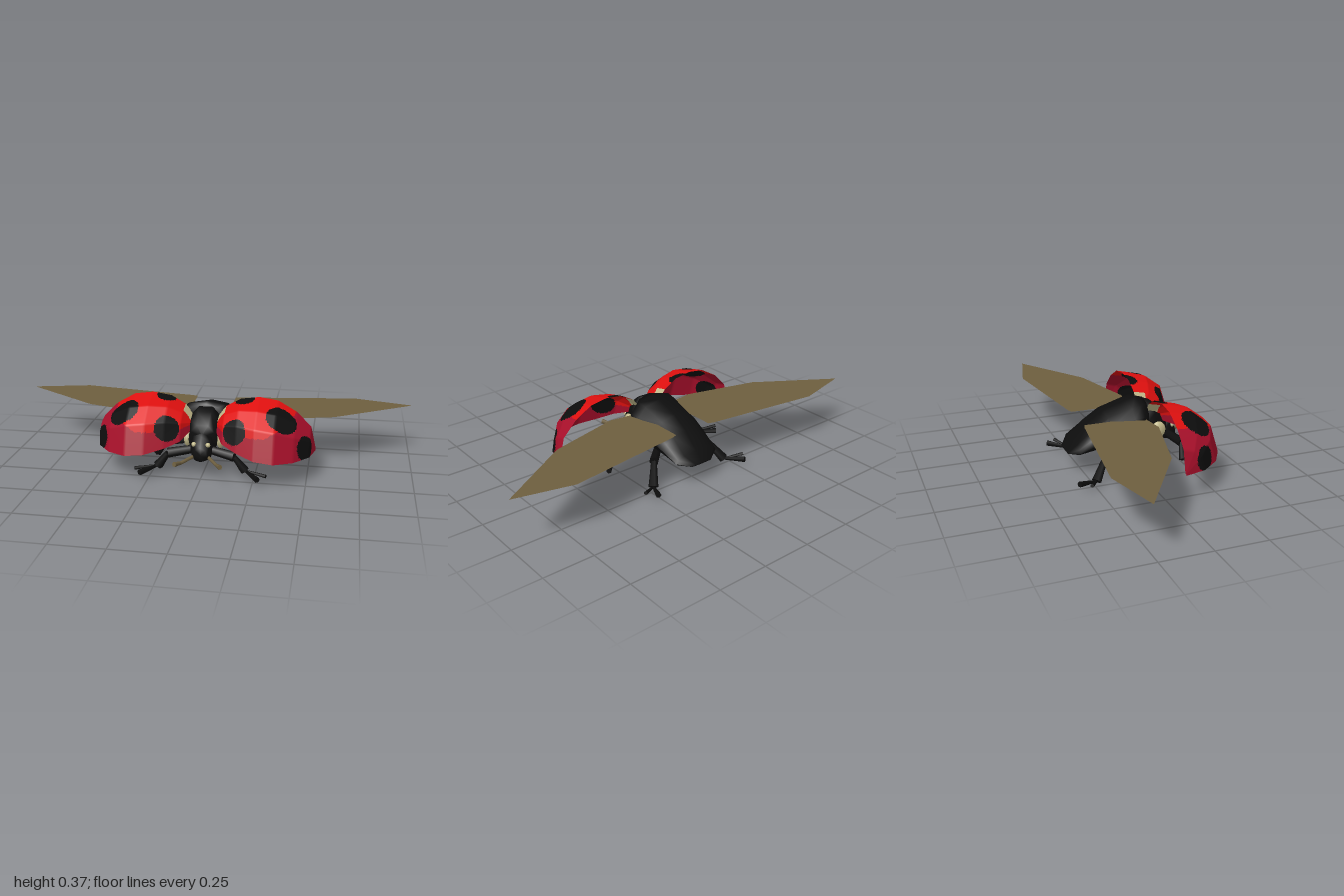
import * as THREE from 'three';

const mat = (name, color, side = THREE.FrontSide) => {
  const m = new THREE.MeshStandardMaterial({ color, side });
  m.name = name;
  return m;
};

export function createModel() {
  const root = new THREE.Group();
  root.name = 'flyingBeetle';
  const black = mat('black shell', 0x0d0d0d);
  const cream = mat('cream patch', 0xc4bb8c);
  const tan = mat('tan feeler', 0x6e5f3f);
  const wingTan = mat('tan wing', 0x6e5f3f, THREE.DoubleSide);
  const caseMats = [
    mat('bright red', 0xdf100f, THREE.DoubleSide),
    mat('crimson', 0xa80f2a, THREE.DoubleSide),
    mat('black spot', 0x0d0d0d, THREE.DoubleSide),
    mat('cream edge', 0xc4bb8c, THREE.DoubleSide),
  ];

  const add = (name, geo, material, parent = root) => {
    const m = new THREE.Mesh(geo, material);
    m.name = name;
    parent.add(m);
    return m;
  };

  // Surface over a grid of points; pick() chooses the material of each triangle
  const gridSurface = (rows, flip = false, pick = () => 0) => {
    const n = rows[0].length, pts = rows.flat(), lists = [];
    const face = (a, b, c) => {
      const mid = pts[a].clone().add(pts[b]).add(pts[c]).divideScalar(3);
      const k = pick(mid);
      (lists[k] ??= []).push(...(flip ? [a, c, b] : [a, b, c]));
    };
    for (let i = 0; i < rows.length - 1; i++) {
      for (let j = 0; j < n - 1; j++) {
        const a = i * n + j, c = a + n;
        face(a, a + 1, c);
        face(a + 1, c + 1, c);
      }
    }
    const geo = new THREE.BufferGeometry().setFromPoints(pts);
    const index = [];
    lists.forEach((list, k) => {
      geo.addGroup(index.length, list.length, k);
      index.push(...list);
    });
    geo.setIndex(index);
    geo.computeVertexNormals();
    return geo;
  };

  // Body lofts: each ring is [z, half width, top, bottom]
  const loft = (rings, sides = 10) => gridSurface(rings.map(([z, w, top, bot]) => {
    const cy = bot + (top - bot) * 0.4;
    return Array.from({ length: sides + 1 }, (_, j) => {
      const a = (j / sides) * Math.PI * 2, s = Math.sin(a), c = Math.cos(a);
      const y = cy + s * (s > 0 ? top - cy : cy - bot);
      return new THREE.Vector3(Math.sign(c) * Math.abs(c) ** 0.75 * w, y, z);
    });
  }));

  add('abdomen', loft([
    [-0.32, 0, 0.097, 0.096], [-0.32, 0.06, 0.1, 0.094], [-0.28, 0.125, 0.147, 0.095],
    [-0.2, 0.133, 0.222, 0.097], [-0.12, 0.138, 0.277, 0.1], [0, 0.145, 0.314, 0.117],
    [0.045, 0.155, 0.325, 0.122], [0.085, 0.1, 0.32, 0.13], [0.085, 0, 0.23, 0.22],
  ], 12), black);
  add('thorax', loft([
    [0.07, 0, 0.22, 0.2], [0.07, 0.085, 0.318, 0.12], [0.13, 0.08, 0.3, 0.11],
    [0.19, 0.066, 0.25, 0.1], [0.2, 0, 0.2, 0.18],
  ]), black);
  add('head', loft([
    [0.17, 0, 0.15, 0.14], [0.17, 0.062, 0.225, 0.09], [0.22, 0.055, 0.2, 0.08],
    [0.255, 0.032, 0.155, 0.085], [0.255, 0, 0.12, 0.11],
  ], 8), black);

  // Wing cases: lengthwise stations [x, top y, rim z, rim y] and a shared arch [depth, height]
  const stations = [
    [0.065, 0.27, 0.17, 0.205], [0.1, 0.315, 0.245, 0.178], [0.17, 0.355, 0.29, 0.155],
    [0.26, 0.368, 0.335, 0.135], [0.35, 0.355, 0.335, 0.125], [0.44, 0.303, 0.28, 0.12],
    [0.51, 0.232, 0.19, 0.117], [0.535, 0.125, 0.085, 0.115],
  ];
  const arch = [[0, 1], [0.5, 0.87], [0.83, 0.6], [1, 0]];
  const sample = (list, t) => {
    const i = Math.min(Math.floor(t), list.length - 2);
    return list[i].map((v, k) => v + (list[i + 1][k] - v) * (t - i));
  };
  // Spots: centre x, y, z and radius
  const spots = [
    [0.375, 0.295, 0.2, 0.078], [0.165, 0.24, 0.245, 0.062],
    [0.49, 0.165, 0.2, 0.058], [0.19, 0.36, 0.085, 0.05],
  ];
  const casePaint = (p) => {
    const x = Math.abs(p.x);
    if (spots.some(([a, b, c, r]) => Math.hypot(x - a, p.y - b, p.z - c) < r)) return 2;
    if (x < 0.1 && p.z < 0.14) return 3;
    return p.y > 0.235 + 0.5 * Math.max(0, x - 0.3) ? 0 : 1;
  };
  const wingCase = (s) => {
    const rows = [];
    for (let i = 0; i <= 84; i++) {
      const [x, top, rz, ry] = sample(stations, i / 12);
      const row = [];
      for (let j = 0; j <= 48; j++) {
        const [d, h] = sample(arch, j / 16);
        row.push(new THREE.Vector3(s * x, ry + (top - ry) * h, 0.08 + (rz - 0.08) * d));
      }
      rows.push(row);
    }
    return gridSurface(rows, s < 0, casePaint);
  };

  // Flat hind wing outline, as [x, z]
  const wing = (s) => {
    const outline = [[0.1, -0.25], [0.13, -0.26], [0.715, -0.34], [1, -0.27],
      [0.615, -0.025], [0.25, 0.07], [0.1, 0.05]];
    const shape = new THREE.Shape(outline.map(([x, z]) => new THREE.Vector2(s * x, -z)));
    return new THREE.ShapeGeometry(shape).rotateX(-Math.PI / 2).translate(0, 0.25, 0);
  };

  // Tapered limb segment between two points
  const limb = (name, a, b, r1, r2, parent, material = black) => {
    const p = new THREE.Vector3(...a), q = new THREE.Vector3(...b), dir = q.clone().sub(p);
    const m = add(name, new THREE.CylinderGeometry(r2, r1, dir.length(), 6), material, parent);
    m.position.copy(p).add(q).multiplyScalar(0.5);
    m.quaternion.setFromUnitVectors(new THREE.Vector3(0, 1, 0), dir.normalize());
  };
  // Legs: hip, knee, ankle, toe
  const legs = {
    frontLeg: [[0.04, 0.13, 0.2], [0.16, 0.115, 0.235], [0.21, 0.045, 0.225], [0.28, 0.042, 0.325]],
    middleLeg: [[0.07, 0.14, 0.09], [0.2, 0.115, 0.075], [0.255, 0.042, 0.045], [0.345, 0.055, -0.045]],
    hindLeg: [[0.08, 0.115, -0.09], [0.17, 0.1, -0.17], [0.225, 0.01, -0.235], [0.275, 0.03, -0.335]],
  };

  for (const [side, s] of [['left', 1], ['right', -1]]) {
    const at = ([x, y, z]) => [s * x, y, z];
    add(side + 'WingCase', wingCase(s), caseMats);
    add(side + 'Wing', wing(s), wingTan);

    for (const [name, joints] of Object.entries(legs)) {
      const g = new THREE.Group();
      g.name = side + name[0].toUpperCase() + name.slice(1);
      root.add(g);
      const [hip, knee, ankle, toe] = joints.map(at);
      limb('thigh', hip, knee, 0.02, 0.024, g);
      limb('shin', knee, ankle, 0.014, 0.024, g);
      limb('foot', ankle, toe, 0.006, 0.014, g);
      limb('claw', ankle, [toe[0] + s * 0.035, toe[1], (toe[2] + ankle[2]) / 2], 0.005, 0.009, g);
    }

    // Clubbed feelers
    limb('feelerStem', at([0.035, 0.105, 0.235]), at([0.085, 0.093, 0.3]), 0.008, 0.008, root, tan);
    limb('feelerClub', at([0.085, 0.093, 0.3]), at([0.108, 0.101, 0.342]), 0.008, 0.012, root, tan);

    // Pale cheek and collar patches
    const collar = add(side + 'CollarPatch', new THREE.SphereGeometry(1, 8, 6), cream);
    collar.scale.set(0.02, 0.045, 0.04);
    collar.position.set(s * 0.08, 0.165, 0.14);
    const cheek = add(side + 'CheekPatch', new THREE.SphereGeometry(0.012, 8, 6), cream);
    cheek.position.set(s * 0.034, 0.165, 0.233);
  }
  return root;
}
